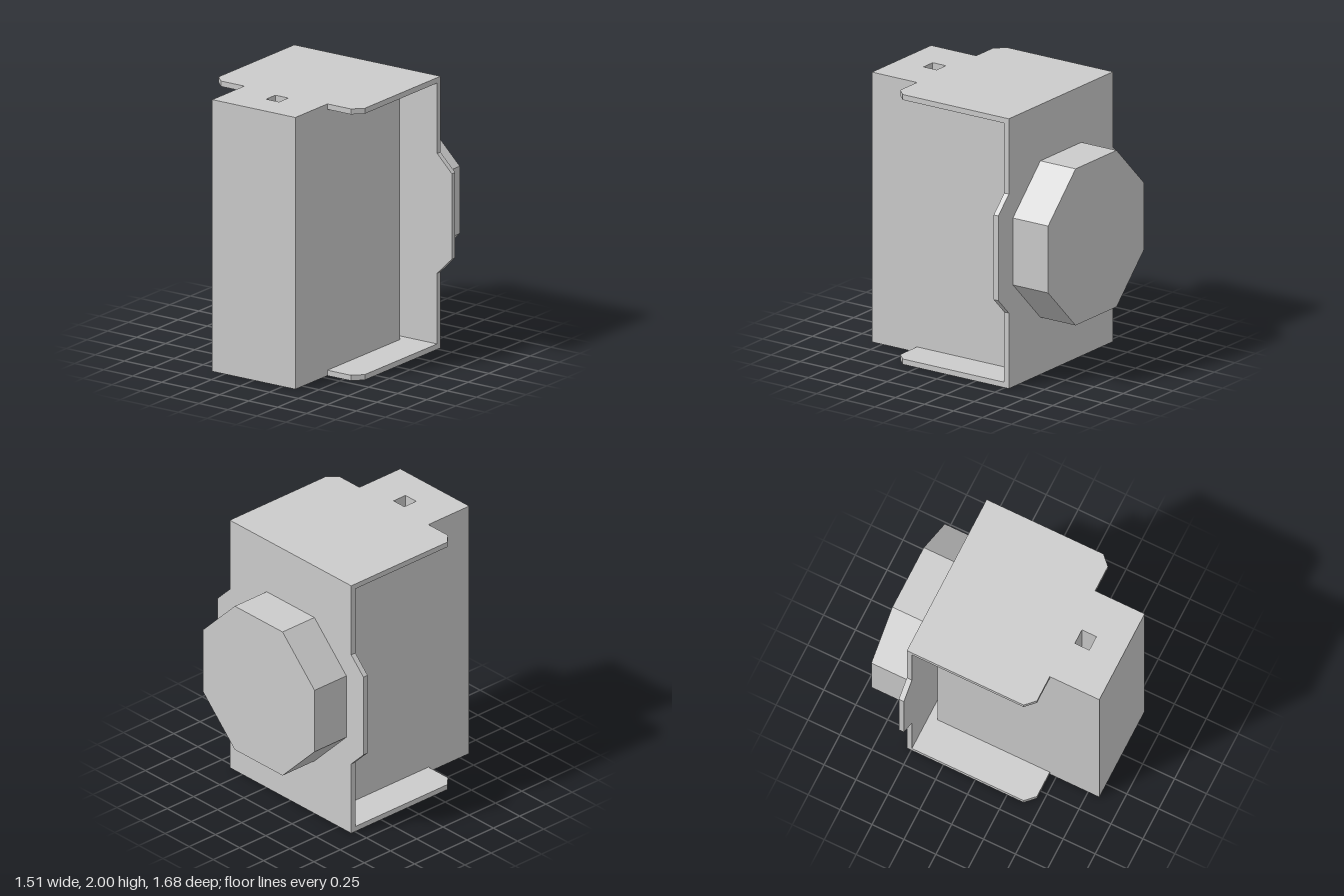
import * as THREE from 'three';

const material = new THREE.MeshStandardMaterial({ color: 0xcccccc, flatShading: true });

// Extrudes an outline whose right half is listed; the left half is its mirror.
function mirroredExtrude(half, depth, hole) {
  const left = half.map(([x, y]) => [-x, y]).reverse();
  const toVec = ([x, y]) => new THREE.Vector2(x, y);
  const shape = new THREE.Shape([...half, ...left].map(toVec));
  if (hole) shape.holes.push(new THREE.Path(hole.map(toVec)));
  return new THREE.ExtrudeGeometry(shape, { depth, bevelEnabled: false });
}

export function createModel() {
  const group = new THREE.Group();
  const add = (name, geometry, x, y, z) => {
    const mesh = new THREE.Mesh(geometry, material);
    mesh.name = name;
    mesh.position.set(x, y, z);
    group.add(mesh);
    return mesh;
  };

  const t = 0.04; // sheet thickness
  const back = -0.535; // rear face of the bracket
  const boxHalf = 0.358;
  const front = 0.838;

  // Square shaft running through the whole height (drawn as x, -z)
  const shaft = [[-0.057, -0.61], [-0.057, -0.497], [0.055, -0.497], [0.055, -0.61]];

  // Main body between the two end plates
  const body = mirroredExtrude([[boxHalf, -front], [boxHalf, 0.43]], 2 - 2 * t, shaft);
  body.rotateX(-Math.PI / 2);
  add('body', body, 0, t, 0);

  // End plates: chamfered flanges with a tongue covering the body
  const plate = mirroredExtrude([
    [boxHalf, -front], [boxHalf, -0.45], [0.56, -0.45], [0.63, -0.38], [0.63, -back],
  ], t, shaft);
  plate.rotateX(-Math.PI / 2);
  add('bottomPlate', plate, 0, 0, 0);
  add('topPlate', plate, 0, 2 - t, 0);

  // Back plate with a tapered tab on each side
  const backPlate = mirroredExtrude([
    [0.63, t], [0.63, 0.56], [0.757, 0.687], [0.757, 1.315], [0.63, 1.442], [0.63, 2 - t],
  ], t);
  add('backPlate', backPlate, 0, 0, back);

  // Octagonal knob on the back
  const knob = mirroredExtrude([
    [0.248, -0.58], [0.58, -0.248], [0.58, 0.248], [0.248, 0.58],
  ], 0.303);
  add('backKnob', knob, 0, 1.003, back - 0.303);

  return group;
}
